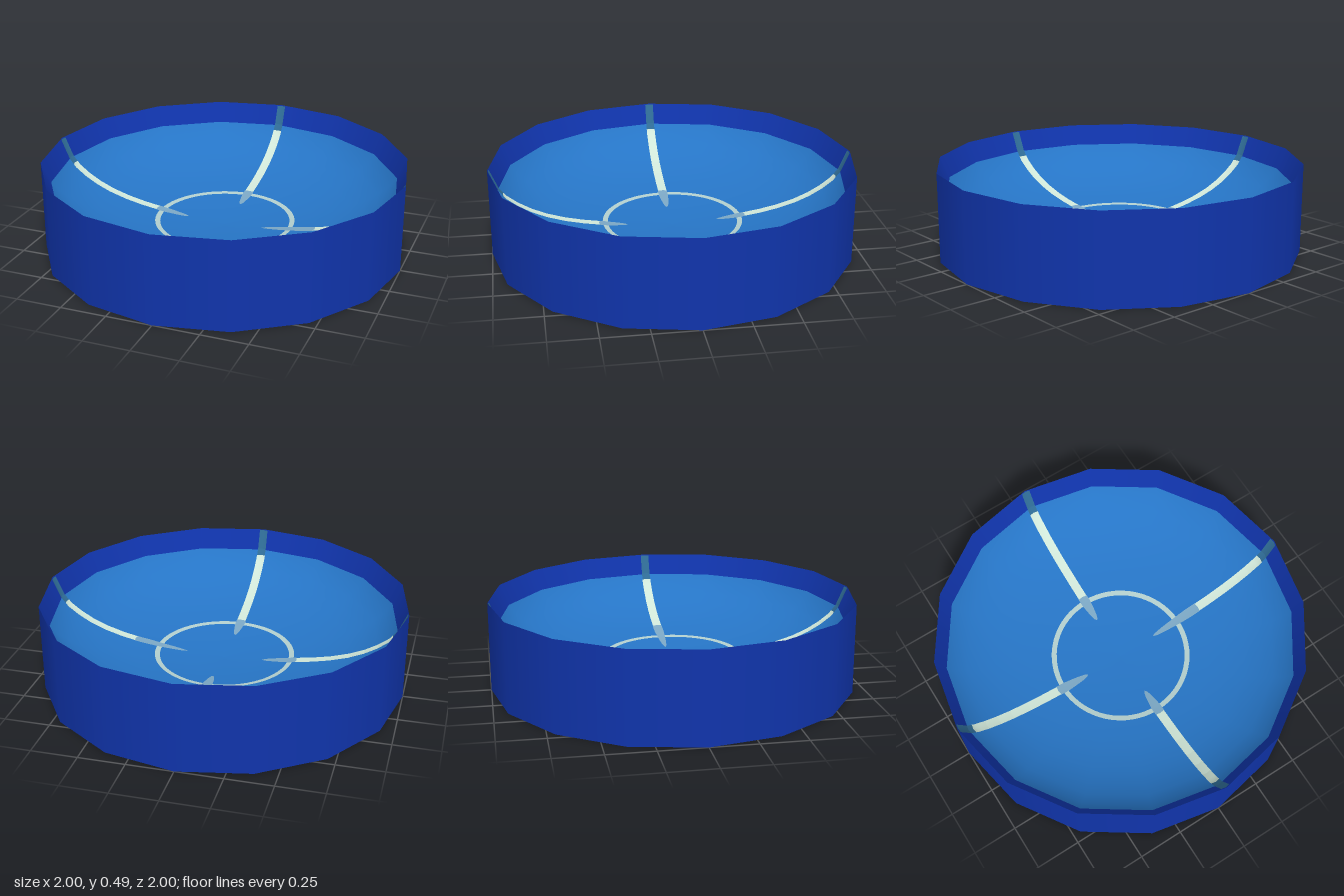
import * as THREE from 'three';

const SIDES = 16;
// Dish cross-section as [radius, height], from the centre out to the rim
const DISH = [[0, 0.11], [0.2, 0.115], [0.37, 0.135], [0.5, 0.155], [0.6, 0.176],
  [0.7, 0.206], [0.78, 0.24], [0.85, 0.28], [0.91, 0.325], [0.95, 0.375]];
const RIM = [[0.95, 0.375], [1, 0.49]];
const PROFILE = [...DISH, RIM[1]];

const material = (name, color) =>
  new THREE.MeshStandardMaterial({ name, color, side: THREE.DoubleSide });

const heightAt = (r) => {
  const i = Math.max(1, PROFILE.findIndex((p) => p[0] >= r));
  const [r0, y0] = PROFILE[i - 1], [r1, y1] = PROFILE[i];
  return y0 + (y1 - y0) * (r - r0) / (r1 - r0);
};

const lathe = (points, sides = SIDES) =>
  new THREE.LatheGeometry(points.map(([x, y]) => new THREE.Vector2(x, y)), sides);

// Painted strip along a dish corner, following both facets beside it
function stripGeometry(from, to, halfWidth, lift) {
  const steps = 14, positions = [], index = [];
  const bend = Math.tan(Math.PI / SIDES);
  const stops = PROFILE.map((p) => p[0]).filter((r) => r > from && r < to);
  for (let i = 0; i <= steps; i++) stops.push(from + (to - from) * i / steps);
  const radii = [...new Set(stops)].sort((a, b) => a - b);
  radii.forEach((r, i) => {
    const w = halfWidth((r - from) / (to - from)), y = heightAt(r) + lift;
    positions.push(-w, y, r - w * bend, 0, y, r, w, y, r - w * bend);
    if (i === 0) return;
    const b = i * 3, a = b - 3;
    for (let k = 0; k < 2; k++) {
      index.push(a + k, b + k, a + k + 1, a + k + 1, b + k, b + k + 1);
    }
  });
  const geometry = new THREE.BufferGeometry();
  geometry.setAttribute('position', new THREE.Float32BufferAttribute(positions, 3));
  geometry.setIndex(index);
  geometry.computeVertexNormals();
  return geometry;
}

export function createModel() {
  const model = new THREE.Group();
  const wallBlue = material('wall blue', 0x1034ab);
  const dishBlue = material('dish blue', 0x2675c6);
  const pale = material('pale line', 0xcfe6d8);
  const circleGrey = material('circle grey', 0xb2cecd);
  const tipBlue = material('tip blue grey', 0x7ba7c4);
  const rimTeal = material('rim teal', 0x2f6c96);

  const add = (name, geometry, mat, turn = 0) => {
    const mesh = new THREE.Mesh(geometry, mat);
    mesh.name = name;
    mesh.rotation.y = turn;
    model.add(mesh);
  };

  // Open outer wall, sloping inner rim and shallow dish
  add('outerWall', lathe([[1, 0], [1, 0.49]]), wallBlue);
  add('innerRim', lathe(RIM), wallBlue);
  add('dish', lathe(DISH), dishBlue);

  // Painted markings on both faces of the dish
  for (const lift of [0.005, -0.005]) {
    const ring = [0.36, 0.388].map((r) => [r, heightAt(r) + lift * 0.8]);
    add('circleLine', lathe(ring, 64), circleGrey);
    for (let i = 0; i < 4; i++) {
      const turn = i * Math.PI / 2;
      const start = i === 1 ? 0.52 : 0.41;
      add('spokeLine', stripGeometry(start, 0.925, () => 0.025, lift), pale, turn);
      add('spokeRimMark', stripGeometry(0.925, 0.996, () => 0.024, lift), rimTeal, turn);
      add('spokeTip', stripGeometry(i % 2 ? 0.215 : 0.25, start,
        (t) => 0.027 * Math.sqrt(Math.min(1, t * 1.3)), lift), tipBlue, turn);
    }
  }
  return model;
}
